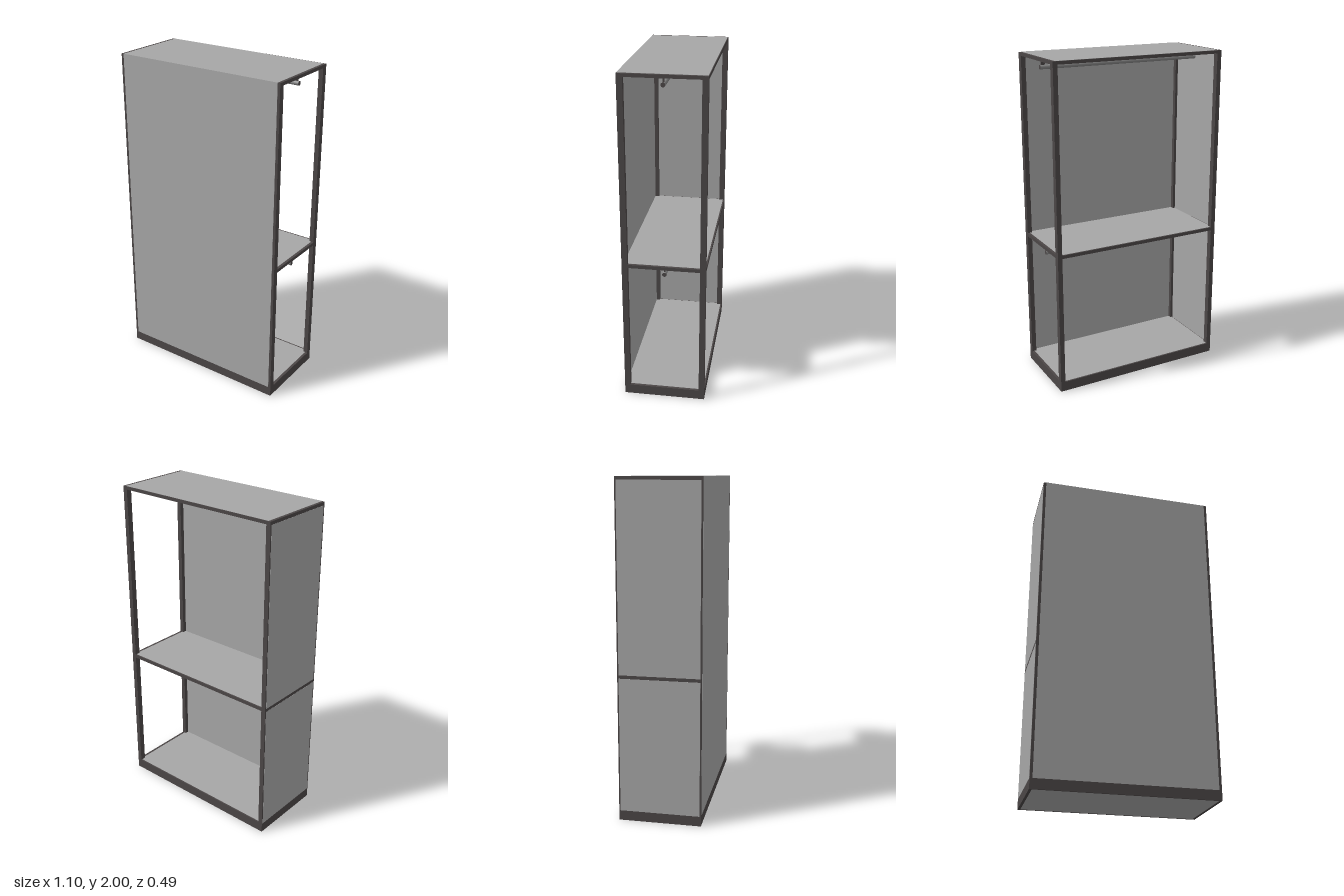
import * as THREE from 'three';

const W = 0.548, D = 0.245, H = 2;      // half width, half depth, height
const POST = 0.034, EDGE = 0.016;       // post depth, panel inset
const BASE = 0.06, SHELF = 0.865, T = 0.02;

export function createModel() {
  const model = new THREE.Group();
  model.name = 'openWardrobe';

  const material = (name, color) => {
    const m = new THREE.MeshStandardMaterial({ color });
    m.name = name;
    return m;
  };
  const panel = material('light grey panel', 0xa6a6a6);
  const frame = material('dark frame', 0x4b4646);
  const metal = material('grey metal', 0x858585);

  // Box given by its minimum and maximum on each axis
  const box = (name, mat, x0, x1, y0, y1, z0, z1) => {
    const mesh = new THREE.Mesh(new THREE.BoxGeometry(x1 - x0, y1 - y0, z1 - z0), mat);
    mesh.position.set((x0 + x1) / 2, (y0 + y1) / 2, (z0 + z1) / 2);
    mesh.name = name;
    model.add(mesh);
  };

  // Rectangular ring of four rails lying flat
  const ring = (name, y0, y1) => {
    for (const s of [-1, 1]) {
      const x = s * (W - EDGE / 2), z = s * (D - 0.005);
      box(name + 'SideRail', frame, x - EDGE / 2, x + EDGE / 2, y0, y1, -D, D);
      box(name + 'LongRail', frame, -W + EDGE, W - EDGE, y0, y1, z - 0.005, z + 0.005);
    }
  };

  // Corner posts
  for (const sx of [-1, 1]) for (const sz of [-1, 1]) {
    const x = sx * (W - 0.014), z = sz * (D - POST / 2);
    box('cornerPost', frame, x - 0.014, x + 0.014, BASE, H - T, z - POST / 2, z + POST / 2);
  }

  // Plinth, shelf and top frames
  ring('plinth', 0, BASE);
  ring('shelf', SHELF, SHELF + T);
  ring('top', H - T, H - 0.001);

  // Horizontal boards
  const bx = W - EDGE, bz = D - 0.009;
  box('bottomBoard', panel, -bx, bx, 0.001, BASE + 0.001, -bz, bz);
  box('shelfBoard', panel, -bx, bx, SHELF - 0.001, SHELF + T + 0.001, -bz, bz);
  box('topBoard', panel, -bx, bx, H - T - 0.001, H, -D + 0.004, D - 0.008);

  // Full-height front panel
  box('frontPanel', panel, -bx, bx, BASE, H, D - 0.009, D + 0.001);

  // Closed side, split at the shelf
  for (const [y0, y1] of [[BASE, SHELF], [SHELF + T, H - T]])
    box('sidePanel', panel, -W - 0.001, -W + 0.012, y0, y1, -D + 0.008, D - 0.008);

  // Hanging rails with brackets, and a slim strip under each board
  for (const top of [SHELF, H - T]) {
    const y = top - 0.042;
    const rod = new THREE.Mesh(new THREE.CylinderGeometry(0.013, 0.013, 1.04, 20), [metal, frame, frame]);
    rod.rotation.z = Math.PI / 2;
    rod.position.y = y;
    rod.name = 'hangingRail';
    model.add(rod);
    for (const s of [-1, 1])
      box('railBracket', frame, s * 0.5 - 0.012, s * 0.5 + 0.012, y, top, -0.004, 0.004);
    box('underStrip', metal, -0.53, 0.53, top - 0.004, top, -0.172, -0.16);
  }
  return model;
}
